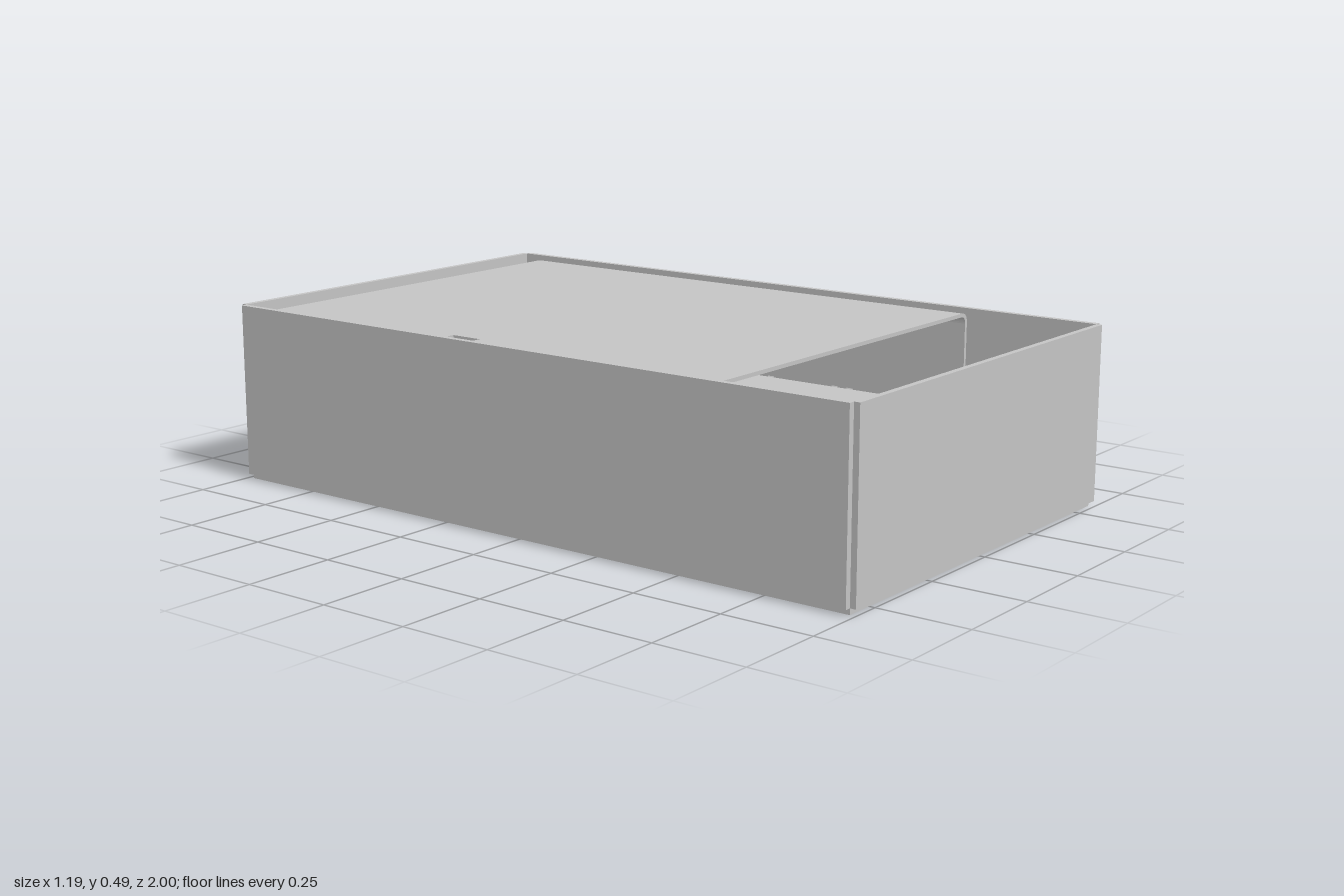
import * as THREE from 'three';

export function createModel() {
  const root = new THREE.Group();
  root.name = 'openCase';
  const grey = new THREE.MeshStandardMaterial({ name: 'lightGrey', color: 0xc4c4c4 });
  const blue = new THREE.MeshStandardMaterial({ name: 'slateBlue', color: 0x828a9b });
  const dark = new THREE.MeshStandardMaterial({ name: 'darkGrey', color: 0x404246 });

  // Box given by its lower and upper limits on each axis
  function block(name, x0, x1, y0, y1, z0, z1, mat = grey, parent = root) {
    const mesh = new THREE.Mesh(new THREE.BoxGeometry(x1 - x0, y1 - y0, z1 - z0), mat);
    mesh.position.set((x0 + x1) / 2, (y0 + y1) / 2, (z0 + z1) / 2);
    mesh.name = name;
    parent.add(mesh);
    return mesh;
  }

  // Tray: five thin plates meeting in stepped edges
  const H = 0.49, T = 0.016;
  block('bottomPlate', -0.58, 0.58, 0, T, -0.984, 0.984);
  for (const s of [-1, 1]) {
    const n = s > 0 ? 'left' : 'right';
    block(n + 'Wall', s > 0 ? 0.58 : -0.597, s > 0 ? 0.597 : -0.58, T, H, -0.984, 0.984);
    block(s > 0 ? 'frontWall' : 'backWall', -0.58, 0.58, T, H,
      s > 0 ? 0.984 : -1, s > 0 ? 1 : -0.984);
  }

  // Inner body, its blue front panel and the ledge around them
  block('ledge', -0.58, 0.58, T, 0.19, -0.984, 0.984);
  block('innerBody', -0.55, 0.53, 0.19, 0.228, -0.955, 0.40);
  block('frontPanel', -0.56, 0.53, 0.19, 0.23, 0.40, 0.982, blue);
  block('sidePost', -0.58, -0.56, 0.19, 0.47, 0.11, 0.23, blue);

  // Lid with a shallow cut-out along one long edge
  const outline = [[-0.58, -0.88], [0.515, -0.88], [0.515, 0.62], [-0.58, 0.62], [-0.58, 0.32],
    [-0.57, -0.16], [-0.54, -0.16], [-0.54, -0.25], [-0.57, -0.25], [-0.58, -0.6]];
  const shape = new THREE.Shape(outline.map(([x, z]) => new THREE.Vector2(x, -z)));
  const lidGeo = new THREE.ExtrudeGeometry(shape, { depth: 0.01, bevelEnabled: false });
  lidGeo.rotateX(-Math.PI / 2);
  const lid = new THREE.Mesh(lidGeo, grey);
  lid.name = 'lid';
  lid.position.y = 0.476;
  root.add(lid);

  // Rounded long edge of the lid, turned down into a skirt
  const edge = new THREE.Shape();
  edge.moveTo(0.515, 0.486);
  edge.quadraticCurveTo(0.545, 0.486, 0.545, 0.456);
  edge.lineTo(0.545, 0.23);
  edge.lineTo(0.535, 0.23);
  edge.lineTo(0.535, 0.456);
  edge.quadraticCurveTo(0.535, 0.476, 0.515, 0.476);
  const skirt = new THREE.Mesh(
    new THREE.ExtrudeGeometry(edge, { depth: 1.5, bevelEnabled: false, curveSegments: 8 }), grey);
  skirt.name = 'lidSideSkirt';
  skirt.position.z = -0.88;
  root.add(skirt);
  block('lidBackSkirt', -0.58, 0.54, 0.23, 0.48, -0.885, -0.875);
  block('lidCornerTab', -0.58, -0.574, 0.385, 0.476, 0.58, 0.62);
  block('latch', -0.58, -0.54, 0.42, 0.455, -0.25, -0.16);

  // Blue side channel with a row of clips
  block('sideChannel', 0.545, 0.58, 0.19, 0.20, -0.905, 0.62, blue);
  for (const z of [-0.64, -0.38, -0.11, 0.16, 0.39]) {
    block('clip', 0.545, 0.575, 0.20, 0.26, z - 0.045, z + 0.03);
    block('clipSlot', 0.548, 0.572, 0.20, 0.205, z + 0.042, z + 0.058, dark);
    block('clipFoot', 0.545, 0.575, 0.20, 0.24, z + 0.063, z + 0.08);
  }

  // Details on the back ledge
  block('backSlot', -0.45, 0.32, 0.228, 0.231, -0.908, -0.902, dark);
  block('cornerBlock', 0.41, 0.50, 0.228, 0.28, -0.984, -0.905);
  block('cornerSlot', -0.58, -0.55, 0.19, 0.194, -0.905, -0.885, dark);

  return root;
}
